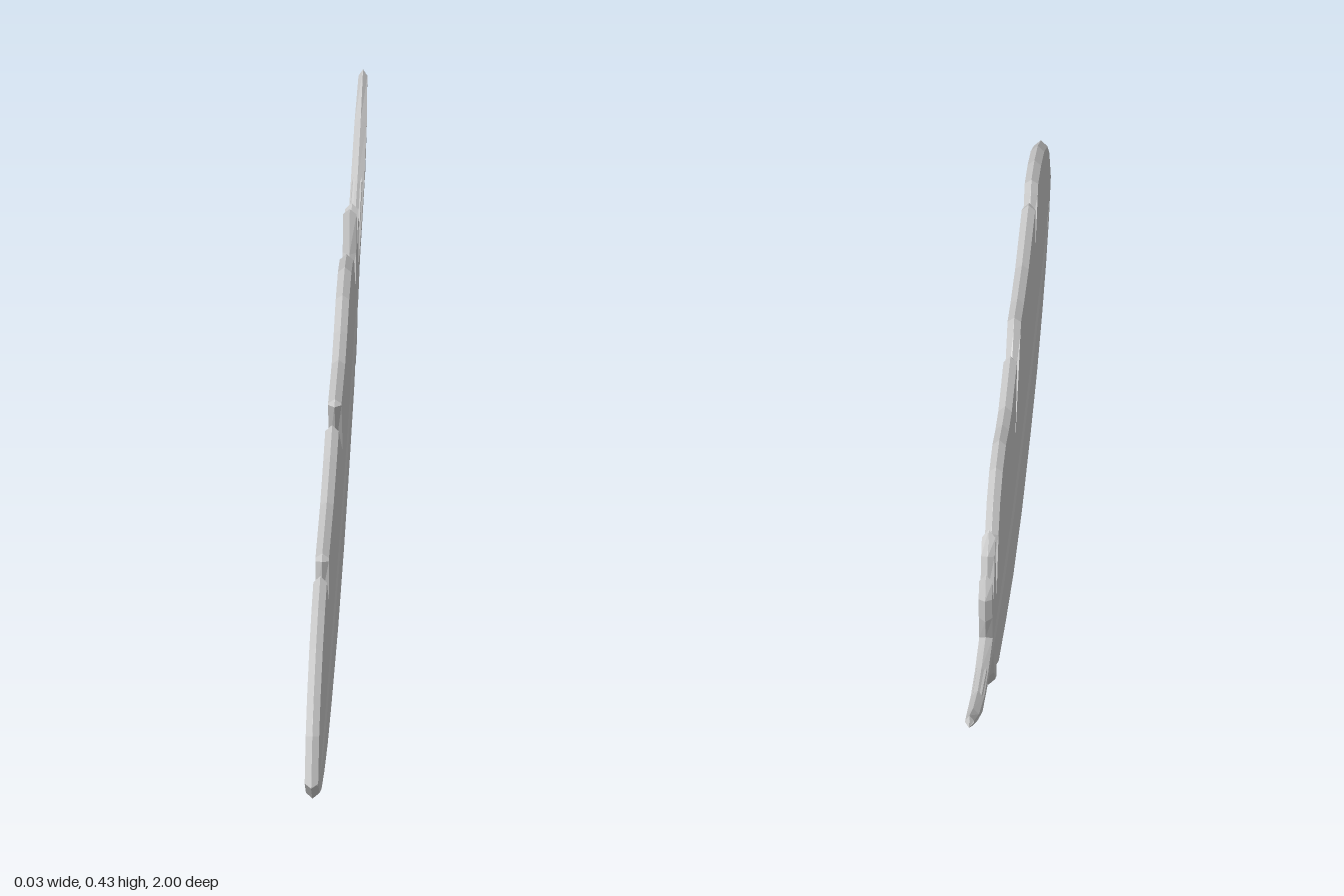
import * as THREE from 'three';

const material = new THREE.MeshStandardMaterial({ color: 0xcccccc, flatShading: true, side: THREE.DoubleSide });

// Feather outline as [z, y], from the tip along the top, round the quill and back underneath
const outline = [
  [1, 0.225], [0.957, 0.308], [0.903, 0.357], [0.818, 0.4], [0.732, 0.425], [0.65, 0.436],
  // first split
  [0.635, 0.418], [0.582, 0.343], [0.592, 0.425], [0.575, 0.431],
  [0.4, 0.418], [0.276, 0.426], [0.196, 0.437],
  // second split
  [0.18, 0.42], [0.056, 0.285], [0.108, 0.412], [0.095, 0.42],
  [-0.045, 0.405], [-0.12, 0.415], [-0.2, 0.434], [-0.287, 0.432], [-0.357, 0.41], [-0.405, 0.367],
  // loose barbs
  [-0.442, 0.28], [-0.458, 0.335], [-0.476, 0.422], [-0.507, 0.385], [-0.525, 0.32],
  [-0.555, 0.378], [-0.576, 0.335], [-0.572, 0.29], [-0.56, 0.25],
  // quill
  [-0.67, 0.256], [-0.77, 0.272], [-0.893, 0.314], [-0.985, 0.358], [-1, 0.342],
  [-0.93, 0.3], [-0.823, 0.251], [-0.69, 0.221], [-0.539, 0.19],
  // lower barb and edge
  [-0.523, 0.142], [-0.49, 0.105], [-0.448, 0.088], [-0.442, 0.108],
  [-0.394, 0.083], [-0.206, 0.046], [-0.003, 0.015], [0.228, 0.004], [0.464, 0.02],
  [0.625, 0.04], [0.76, 0.075], [0.866, 0.115], [0.946, 0.164],
];

// Thin blade whose bevels meet in a ridge all round the edge
function createBlade() {
  const shape = new THREE.Shape(outline.map(([z, y]) => new THREE.Vector2(z, y)));
  const geometry = new THREE.ExtrudeGeometry(shape, {
    depth: 0.0004, bevelThickness: 0.0118, bevelSize: 0.01, bevelOffset: -0.01, bevelSegments: 1,
  });
  geometry.translate(0, 0, -0.0002).rotateY(-Math.PI / 2);
  // thin the quill towards its end
  const p = geometry.attributes.position;
  for (let i = 0; i < p.count; i++) {
    const t = THREE.MathUtils.clamp((-0.87 - p.getZ(i)) / 0.13, 0, 1);
    p.setX(i, p.getX(i) * (1 - 0.4 * t));
  }
  geometry.computeVertexNormals();
  return new THREE.Mesh(geometry, material);
}

// Raised shaft: six-sided sections [z, y, half height, half thickness] joined in a loop
function createShaft() {
  const sections = [
    [0.985, 0.222, 0.006, 0.011], [0.866, 0.183, 0.018, 0.014], [0.678, 0.17, 0.02, 0.0145],
    [0.357, 0.162, 0.022, 0.015], [-0.02, 0.163, 0.023, 0.015], [-0.287, 0.188, 0.024, 0.015],
    [-0.5, 0.215, 0.024, 0.0145], [-0.64, 0.235, 0.014, 0.012], [-0.8, 0.268, 0.006, 0.01],
  ];
  const ring = [[0, 1], [0.75, 0.75], [1, 0], [0.75, -0.75], [0, -1], [-0.75, -0.75], [-1, 0], [-0.75, 0.75]];
  const n = ring.length, positions = [], index = [];
  sections.forEach(([z, y, h, w], s) => {
    for (const [u, v] of ring) positions.push(u * w, y + v * h, z);
    if (s === 0) return;
    for (let k = 0; k < n; k++) {
      const a = (s - 1) * n + k, b = (s - 1) * n + (k + 1) % n;
      index.push(a, b, a + n, b, b + n, a + n);
    }
  });
  const geometry = new THREE.BufferGeometry();
  geometry.setAttribute('position', new THREE.Float32BufferAttribute(positions, 3));
  geometry.setIndex(index);
  geometry.computeVertexNormals();
  return new THREE.Mesh(geometry, material);
}

export function createModel() {
  const feather = new THREE.Group();
  feather.name = 'feather';
  const blade = createBlade();
  blade.name = 'blade';
  const shaft = createShaft();
  shaft.name = 'shaft';
  feather.add(blade, shaft);
  return feather;
}
